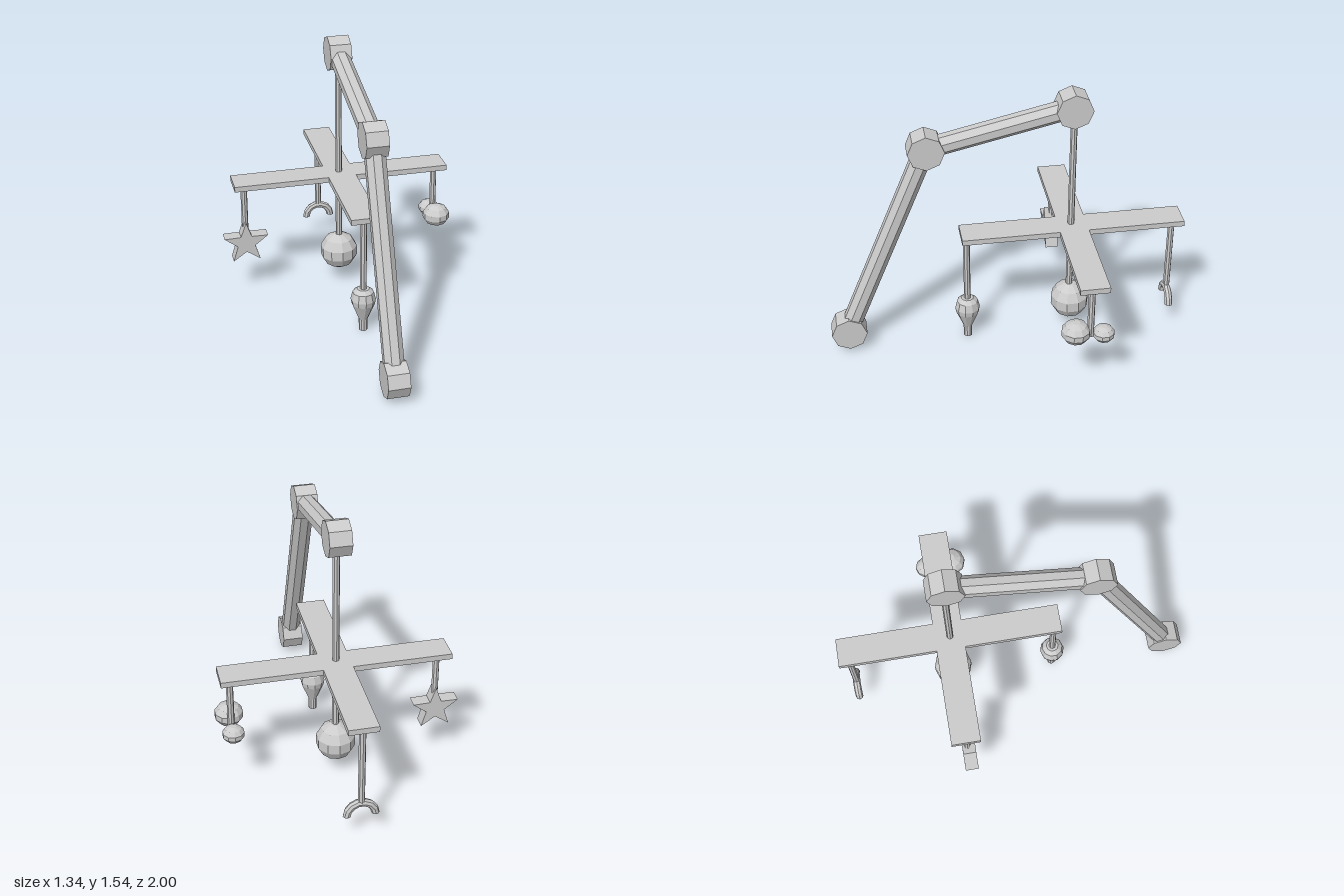
import * as THREE from 'three';

const CX = 0.015, CZ = -0.37; // axis of the hanging cross

export function createModel() {
  const group = new THREE.Group();
  const mat = new THREE.MeshStandardMaterial({ color: 0xcccccc, flatShading: true });

  const add = (name, geo, x = 0, y = 0, z = 0) => {
    const mesh = new THREE.Mesh(geo, mat);
    mesh.name = name;
    mesh.position.set(x, y, z);
    group.add(mesh);
    return mesh;
  };

  // vertical string between two heights
  const rod = (name, x, z, top, bottom, r = 0.019) =>
    add(name, new THREE.CylinderGeometry(r, r, top - bottom, 8), x, (top + bottom) / 2, z);

  // faceted ball with flat caps
  const ball = (name, r, x, y, z) => {
    const pts = [-75, -45, -15, 15, 45, 75].map(d => {
      const a = THREE.MathUtils.degToRad(d);
      return new THREE.Vector2(Math.cos(a) * r, Math.sin(a) * r);
    });
    pts.unshift(new THREE.Vector2(0, pts[0].y));
    pts.push(new THREE.Vector2(0, pts[pts.length - 1].y));
    return add(name, new THREE.LatheGeometry(pts, 10), x, y, z);
  };

  // extrusion centred on its own thickness
  const slab = (points, depth) => {
    const shape = new THREE.Shape(points.map(p => new THREE.Vector2(p[0], p[1])));
    return new THREE.ExtrudeGeometry(shape, { depth, bevelEnabled: false }).translate(0, 0, -depth / 2);
  };

  // octagonal joints and the two arms between them
  const joints = [[0.12, 0.902], [1.265, 0.43], [1.445, -0.365]]
    .map(([y, z]) => new THREE.Vector3(0.011, y, z));
  const jointNames = ['baseJoint', 'elbowJoint', 'topJoint'];
  joints.forEach((p, i) => {
    const geo = new THREE.CylinderGeometry(0.1, 0.1, 0.12, 8).rotateZ(Math.PI / 2);
    add(jointNames[i], geo, p.x, p.y, p.z);
  });
  ['lowerArm', 'upperArm'].forEach((name, i) => {
    const a = joints[i], b = joints[i + 1];
    const dir = b.clone().sub(a);
    const geo = new THREE.CylinderGeometry(0.057, 0.057, dir.length(), 8).rotateY(Math.PI / 8);
    const arm = add(name, geo);
    arm.position.copy(a).add(b).multiplyScalar(0.5);
    arm.quaternion.setFromUnitVectors(new THREE.Vector3(0, 1, 0), dir.normalize());
  });

  // flat cross that carries the toys
  const L = 0.627, W = 0.081;
  const cross = slab([
    [-L, -W], [-W, -W], [-W, -L], [W, -L], [W, -W], [L, -W],
    [L, W], [W, W], [W, L], [-W, L], [-W, W], [-L, W],
  ], 0.032).rotateX(-Math.PI / 2);
  add('cross', cross, 0.02, 0.7, -0.375);

  // centre string and ball
  rod('centreString', CX, CZ, 1.445, 0.2);
  ball('centreBall', 0.112, CX, 0.195, -0.375);

  // left toy: two flattened balls
  rod('pairString', 0.59, CZ, 0.69, 0.37);
  ball('largePairBall', 0.081, 0.59, 0.402, -0.29).scale.y = 0.82;
  ball('smallPairBall', 0.062, 0.59, 0.376, -0.443).scale.y = 0.78;

  // right toy: five-pointed star
  rod('starString', -0.545, CZ, 0.69, 0.4);
  const star = [];
  for (let i = 0; i < 10; i++) {
    const r = i % 2 ? 0.054 : 0.134, a = Math.PI / 2 + i * Math.PI / 5;
    star.push([Math.cos(a) * r, Math.sin(a) * r]);
  }
  add('star', slab(star, 0.074), -0.546, 0.33, -0.363);

  // front toy: rattle bulb with a neck
  rod('bulbString', CX, 0.22, 0.69, 0.24);
  const bulb = [[0, 0], [0.024, 0], [0.025, 0.07], [0.066, 0.17], [0.071, 0.2], [0.06, 0.245], [0.035, 0.266], [0, 0.266]];
  add('bulb', new THREE.LatheGeometry(bulb.map(p => new THREE.Vector2(p[0], p[1])), 10), CX, 0, 0.22);

  // back toy: half-ring arch with closed ends
  rod('archString', CX, -0.952, 0.69, 0.21);
  add('arch', new THREE.TorusGeometry(0.076, 0.022, 8, 7, Math.PI), CX, 0.135, -0.952);
  for (const s of [-1, 1]) {
    add('archEnd', new THREE.CircleGeometry(0.022, 8).rotateX(Math.PI / 2), CX + s * 0.076, 0.135, -0.952);
  }

  return group;
}
